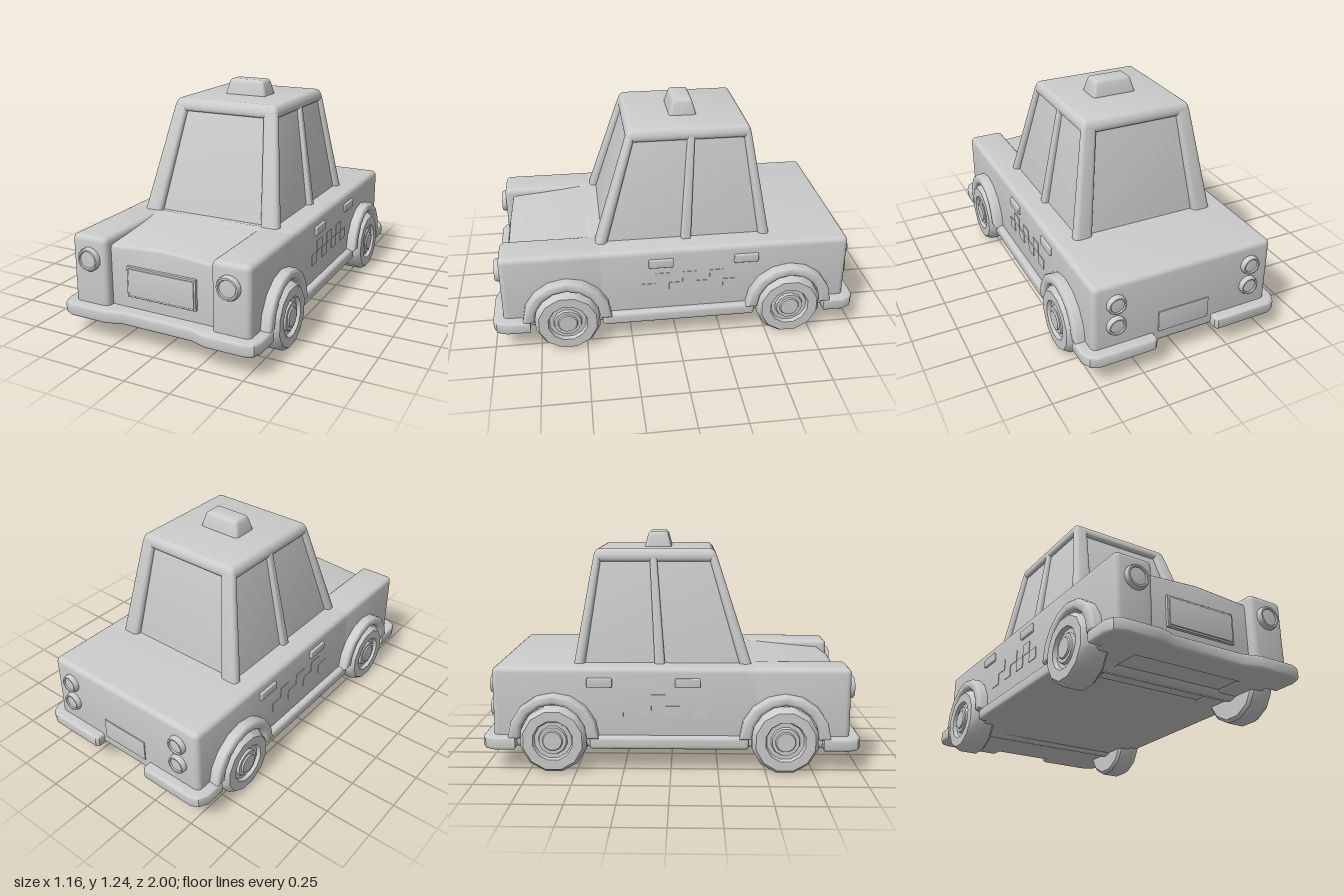
import * as THREE from 'three';
import { toCreasedNormals } from 'three/addons/utils/BufferGeometryUtils.js';
import { RoundedBoxGeometry } from 'three/addons/geometries/RoundedBoxGeometry.js';

const material = new THREE.MeshStandardMaterial({ color: 0xcccccc });

// Smooth shading with sharp edges kept (scaled up so close vertices stay distinct)
function crease(geo, angle = 0.62) {
  geo.scale(100, 100, 100);
  return toCreasedNormals(geo, angle).scale(0.01, 0.01, 0.01);
}

// Move every vertex by a rule
function warp(geo, rule) {
  const p = geo.attributes.position;
  const v = new THREE.Vector3();
  for (let i = 0; i < p.count; i++) {
    rule(v.fromBufferAttribute(p, i));
    p.setXYZ(i, v.x, v.y, v.z);
  }
  return geo;
}

// Rounded box given by its limits on each axis
function box(x0, x1, y0, y1, z0, z1, r = 0.02) {
  return new RoundedBoxGeometry(x1 - x0, y1 - y0, z1 - z0, 3, r)
    .translate((x0 + x1) / 2, (y0 + y1) / 2, (z0 + z1) / 2);
}

// Bevelled extrusion along z from 0 to depth, keeping the outline size
function extrude(points, depth, bevel) {
  const shape = new THREE.Shape(points.map(([x, y]) => new THREE.Vector2(x, y)));
  return new THREE.ExtrudeGeometry(shape, {
    depth: depth - 2 * bevel, bevelThickness: bevel, bevelSize: bevel,
    bevelOffset: -bevel, bevelSegments: 3,
  }).translate(0, 0, bevel);
}

// Horizontal slab with an outline in x and z
function slab(points, y0, y1) {
  return extrude(points.map(([x, z]) => [x, -z]), y1 - y0, 0.015)
    .rotateX(-Math.PI / 2).translate(0, y0, 0);
}

function lathe(points, sides) {
  return new THREE.LatheGeometry(points.map(([r, h]) => new THREE.Vector2(r, h)), sides);
}

// Cabin taper: half width, half depth and centre shrink with height
function taperCabin(v) {
  const t = (v.y - 0.55) / 0.58;
  v.x *= 1 - t * (0.10 / 0.41);
  v.z = THREE.MathUtils.lerp(-0.0475, -0.09, t)
    + (v.z + 0.0475) * THREE.MathUtils.lerp(1, 0.33 / 0.4775, t);
}

export function createModel() {
  const car = new THREE.Group();
  car.name = 'car';
  const add = (name, geo, angle) => {
    const mesh = new THREE.Mesh(crease(geo, angle), material);
    mesh.name = name;
    car.add(mesh);
    return mesh;
  };
  const sideName = (s) => (s > 0 ? 'left' : 'right');

  // Lower body, front fenders and gabled hood
  add('body', box(-0.51, 0.51, 0.12, 0.555, -0.945, 0.48, 0.03));
  for (const s of [1, -1]) {
    add(sideName(s) + 'Fender',
      box(s * 0.405 - 0.105, s * 0.405 + 0.105, 0.12, 0.555, 0.38, 0.945, 0.03));
  }
  const hood = extrude(
    [[-0.32, 0.13], [0.32, 0.13], [0.32, 0.51], [0, 0.533], [-0.32, 0.51]], 0.48, 0.02
  ).translate(0, 0, 0.42);
  add('hood', warp(hood, (v) => {
    if (v.y > 0.4) v.y = THREE.MathUtils.lerp(v.y, 0.553, (0.9 - v.z) / 0.45);
  }), 0.5);

  // Cabin: recessed glass, corner pillars, door pillars and roof
  const cabinPart = (name, geo) => add(name, warp(geo, taperCabin));
  cabinPart('windows', box(-0.38, 0.38, 0.5, 1.13, -0.49, 0.393, 0.005));
  cabinPart('roof', box(-0.41, 0.41, 1.09, 1.16, -0.525, 0.43, 0.034));
  for (const s of [1, -1]) {
    const x = s * 0.357;
    cabinPart(sideName(s) + 'FrontPillar', box(x - 0.053, x + 0.053, 0.45, 1.14, 0.365, 0.43, 0.03));
    cabinPart(sideName(s) + 'RearPillar', box(x - 0.053, x + 0.053, 0.45, 1.14, -0.525, -0.465, 0.028));
    cabinPart(sideName(s) + 'DoorPillar',
      box(s * 0.385 - 0.023, s * 0.385 + 0.023, 0.45, 1.14, -0.09, -0.035, 0.015));
  }

  // Tapered roof sign
  add('roofSign', warp(box(-0.125, 0.125, 1.145, 1.245, -0.075, 0.075, 0.02), (v) => {
    const t = Math.max(0, (v.y - 1.16) / 0.085);
    v.x *= 1 - 0.18 * t;
    v.z = v.z * (1 - 0.32 * t) - 0.08;
  }));

  // Bumpers wrapping round the corners, and sills between the wheels
  const half = [[0.2, 0.972], [0.29, 1], [0.5, 1], [0.545, 0.98], [0.565, 0.93], [0.565, 0.8]];
  const mirrored = half.map(([x, z]) => [-x, z]).reverse();
  add('frontBumper', slab([...half, ...mirrored], 0.12, 0.19));
  for (const s of [1, -1]) {
    const rear = [[0.17, -0.85], [0.17, -0.985], [0.185, -1], [0.5, -1], [0.54, -0.98],
      [0.565, -0.93], [0.565, -0.82], [0.45, -0.82]];
    add(sideName(s) + 'RearBumper', slab(rear.map(([x, z]) => [s * x, z]), 0.12, 0.19));
  }
  add('sills', box(-0.545, 0.545, 0.12, 0.19, -0.43, 0.41, 0.02));

  // Wheels, arches and axles
  const wheelProfile = [[0, 0.43], [0.165, 0.43], [0.18, 0.445], [0.18, 0.545], [0.16, 0.575],
    [0.108, 0.575], [0.1, 0.555], [0.078, 0.555], [0.073, 0.57], [0.055, 0.57],
    [0.05, 0.578], [0, 0.578]];
  const arch = [];
  for (let i = 0; i <= 8; i++) {
    const a = (i / 8) * Math.PI;
    arch.push([0.24 * Math.cos(a), 0.24 * Math.sin(a)]);
  }
  for (let i = 8; i >= 0; i--) {
    const a = (i / 8) * Math.PI;
    arch.push([0.178 * Math.cos(a), 0.185 * Math.sin(a)]);
  }
  for (const [end, z] of [['Front', 0.6], ['Rear', -0.62]]) {
    for (const s of [1, -1]) {
      add(sideName(s) + end + 'Wheel', lathe(wheelProfile, 12)
        .rotateY(Math.PI / 12).rotateZ(-s * Math.PI / 2).translate(0, 0.175, z));
      add(sideName(s) + end + 'Arch', extrude(arch, 0.12, 0.018)
        .translate(0, 0, 0.445).rotateY(s * Math.PI / 2).translate(0, 0.18, z), 0.6);
    }
    add('axle' + end, new THREE.CylinderGeometry(0.072, 0.072, 0.9, 12)
      .rotateZ(Math.PI / 2).translate(0, 0.177, z));
  }

  // Head lamps and stacked tail lamps
  const lamp = (r, depth) => lathe([[r, -0.02], [r, depth * 0.6], [r * 0.9, depth],
    [r * 0.76, depth], [r * 0.7, depth * 0.75], [0, depth * 0.85]], 16).rotateX(Math.PI / 2);
  for (const s of [1, -1]) {
    add(sideName(s) + 'Headlamp', lamp(0.063, 0.03).translate(s * 0.4, 0.435, 0.943));
    for (const y of [0.44, 0.315]) {
      add(sideName(s) + 'TailLamp',
        lamp(0.052, 0.03).rotateY(Math.PI).translate(s * 0.385, y, -0.943));
    }
  }

  // Front and rear plates
  add('frontPlate', box(-0.2, 0.2, 0.255, 0.42, 0.88, 0.915, 0.003));
  add('frontPlateFace', box(-0.19, 0.19, 0.265, 0.41, 0.9, 0.92, 0.003));
  add('rearPlate', box(-0.145, 0.145, 0.19, 0.31, -0.951, -0.93, 0.002));

  // Door handles and checker band on both sides
  for (const s of [1, -1]) {
    for (const z of [0.088, -0.377]) {
      add(sideName(s) + 'DoorHandle',
        box(s * 0.505 - 0.018, s * 0.505 + 0.018, 0.45, 0.5, z - 0.067, z + 0.067, 0.006));
    }
    for (let i = 0; i < 7; i++) {
      const y = i % 2 ? 0.35 : 0.288;
      add(sideName(s) + 'Checker', new THREE.BoxGeometry(0.008, 0.062, 0.074)
        .translate(s * 0.509, y + 0.031, 0.155 - i * 0.074));
    }
  }
  return car;
}
